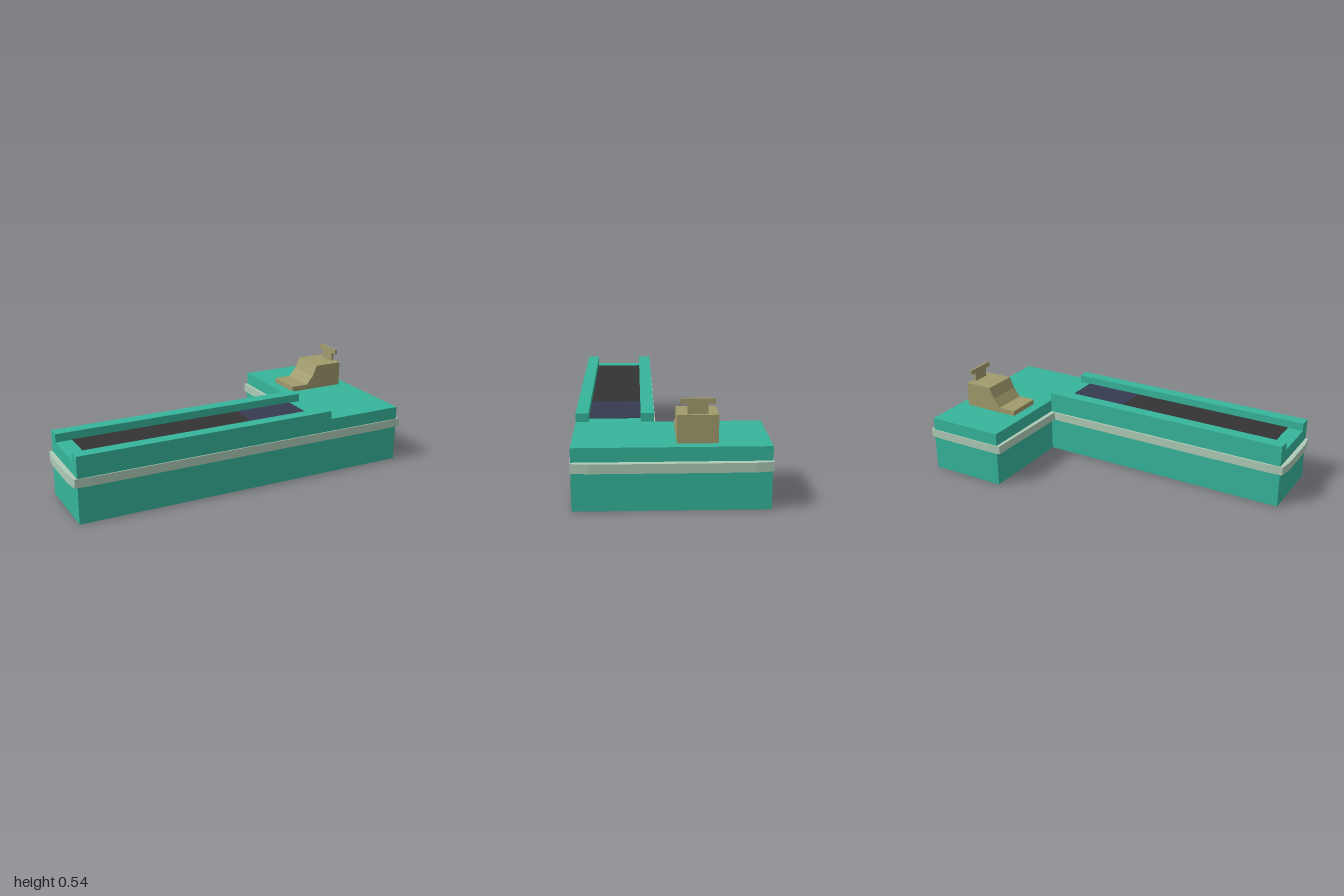
import * as THREE from 'three';

const mat = (color) => new THREE.MeshStandardMaterial({ color, flatShading: true });
const teal = mat(0x36b59b), sage = mat(0xaecab6), khaki = mat(0xa09a6c);
const black = mat(0x333333), navy = mat(0x353b50);

export function createModel() {
  const model = new THREE.Group();

  const add = (name, geometry, material) => {
    const mesh = new THREE.Mesh(geometry, material);
    mesh.name = name;
    model.add(mesh);
  };
  // Box given by its limits on each axis
  const box = (name, [x0, x1], [y0, y1], [z0, z1], material) => {
    const g = new THREE.BoxGeometry(x1 - x0, y1 - y0, z1 - z0);
    g.translate((x0 + x1) / 2, (y0 + y1) / 2, (z0 + z1) / 2);
    add(name, g, material);
  };
  const extrude = (points, depth) => new THREE.ExtrudeGeometry(
    new THREE.Shape(points.map(([a, b]) => new THREE.Vector2(a, b))),
    { depth, bevelEnabled: false });
  // Slab from a plan outline of (x, z) points
  const slab = (name, plan, y0, y1, material) => {
    const g = extrude(plan, y1 - y0);
    g.rotateX(Math.PI / 2).translate(0, y1, 0);
    add(name, g, material);
  };

  // L-shaped counter
  slab('counterBody', [
    [-0.97, 0.485], [-0.97, 0.075], [0.513, 0.075],
    [0.513, -0.485], [0.965, -0.485], [0.965, 0.485],
  ], 0, 0.32, teal);

  // Bumper strip around the counter, with slightly eased corners
  slab('bumperStrip', [
    [-0.89, 0.491], [-0.985, 0.486], [-0.997, 0.4], [-0.997, 0.15], [-0.985, 0.07],
    [-0.89, 0.064], [0.44, 0.064], [0.487, 0.07], [0.487, 0.0], [0.493, -0.4],
    [0.493, -0.487], [0.57, -0.492], [0.9, -0.492], [0.985, -0.487],
    [0.997, -0.4], [0.997, 0.4], [0.985, 0.486], [0.9, 0.491],
  ], 0.2, 0.248, sage);

  // Rails on both sides of the belt
  for (const [name, z] of [['backRail', [0.075, 0.145]], ['frontRail', [0.418, 0.485]]])
    box(name, [-0.97, 0.513], [0.32, 0.366], z, teal);

  // Belt and scanner plate
  box('conveyorBelt', [-0.88, 0.095], [0.31, 0.323], [0.14, 0.418], black);
  box('scannerPlate', [0.095, 0.445], [0.31, 0.323], [0.14, 0.418], navy);

  // Cash register, side profile in (x, y)
  const register = extrude([
    [0.573, 0.32], [0.908, 0.32], [0.908, 0.462], [0.742, 0.462],
    [0.715, 0.4], [0.675, 0.35], [0.573, 0.35],
  ], 0.203);
  register.translate(0, 0, -0.228);
  add('cashRegister', register, khaki);

  // Price display on its stem
  box('displayStem', [0.882, 0.895], [0.46, 0.512], [-0.176, -0.076], khaki);
  box('displayBar', [0.882, 0.895], [0.512, 0.54], [-0.211, -0.04], khaki);

  return model;
}
